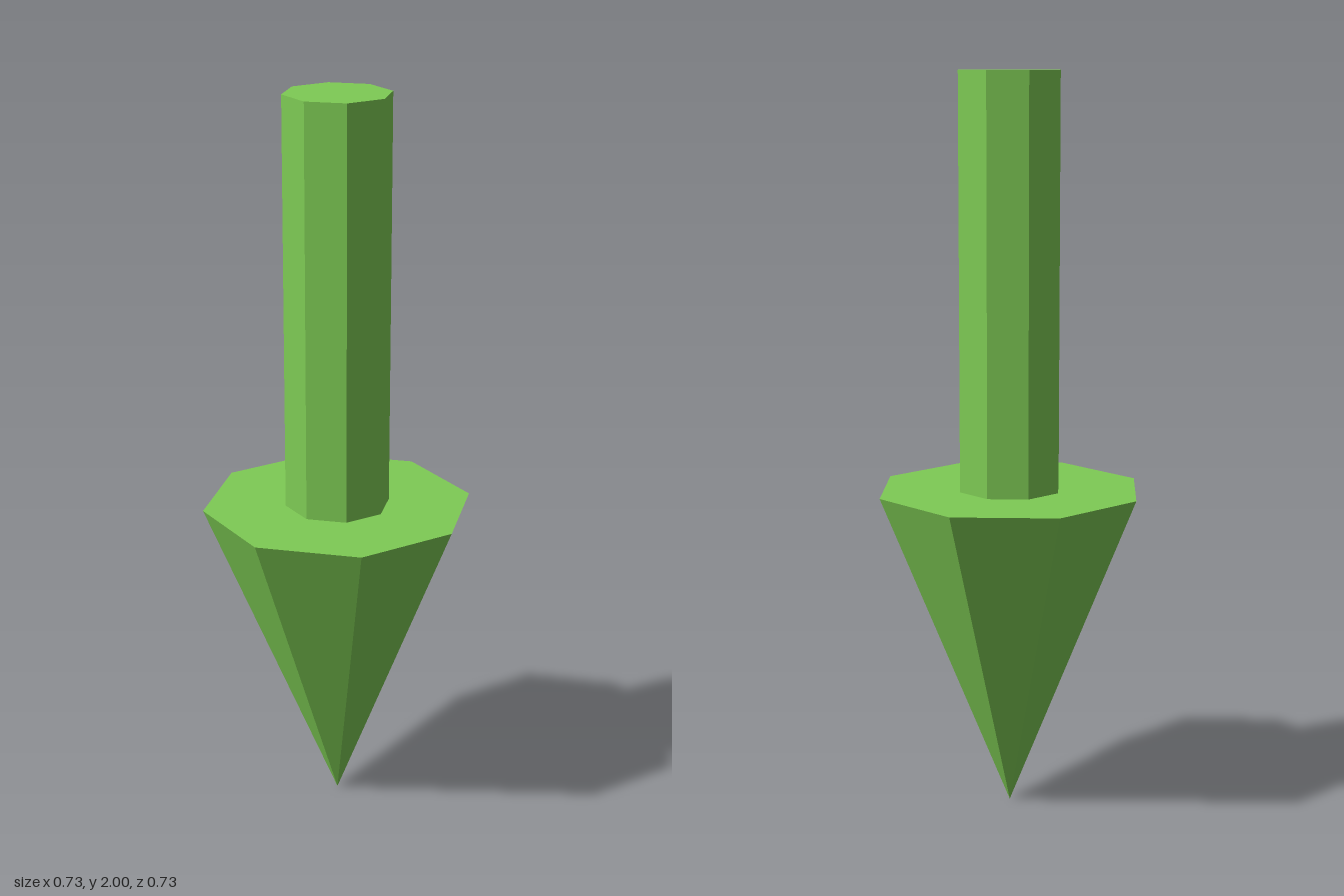
import * as THREE from 'three';

const SIDES = 8;
const HEAD_HEIGHT = 0.89;
const TOTAL_HEIGHT = 2;

export function createModel() {
  const group = new THREE.Group();
  group.name = 'downArrow';
  const green = new THREE.MeshStandardMaterial({ color: 0x7ecb54, flatShading: true });

  // Stacked eight-sided section between two heights
  const addSection = (name, topRadius, bottomRadius, y0, y1) => {
    const geometry = new THREE.CylinderGeometry(topRadius, bottomRadius, y1 - y0, SIDES);
    const mesh = new THREE.Mesh(geometry, green);
    mesh.name = name;
    mesh.position.y = (y0 + y1) / 2;
    group.add(mesh);
  };

  // Pointed head with its tip on the ground, then the straight shaft above it
  addSection('arrowHead', 0.366, 0, 0, HEAD_HEIGHT);
  addSection('arrowShaft', 0.142, 0.142, HEAD_HEIGHT, TOTAL_HEIGHT);

  return group;
}
